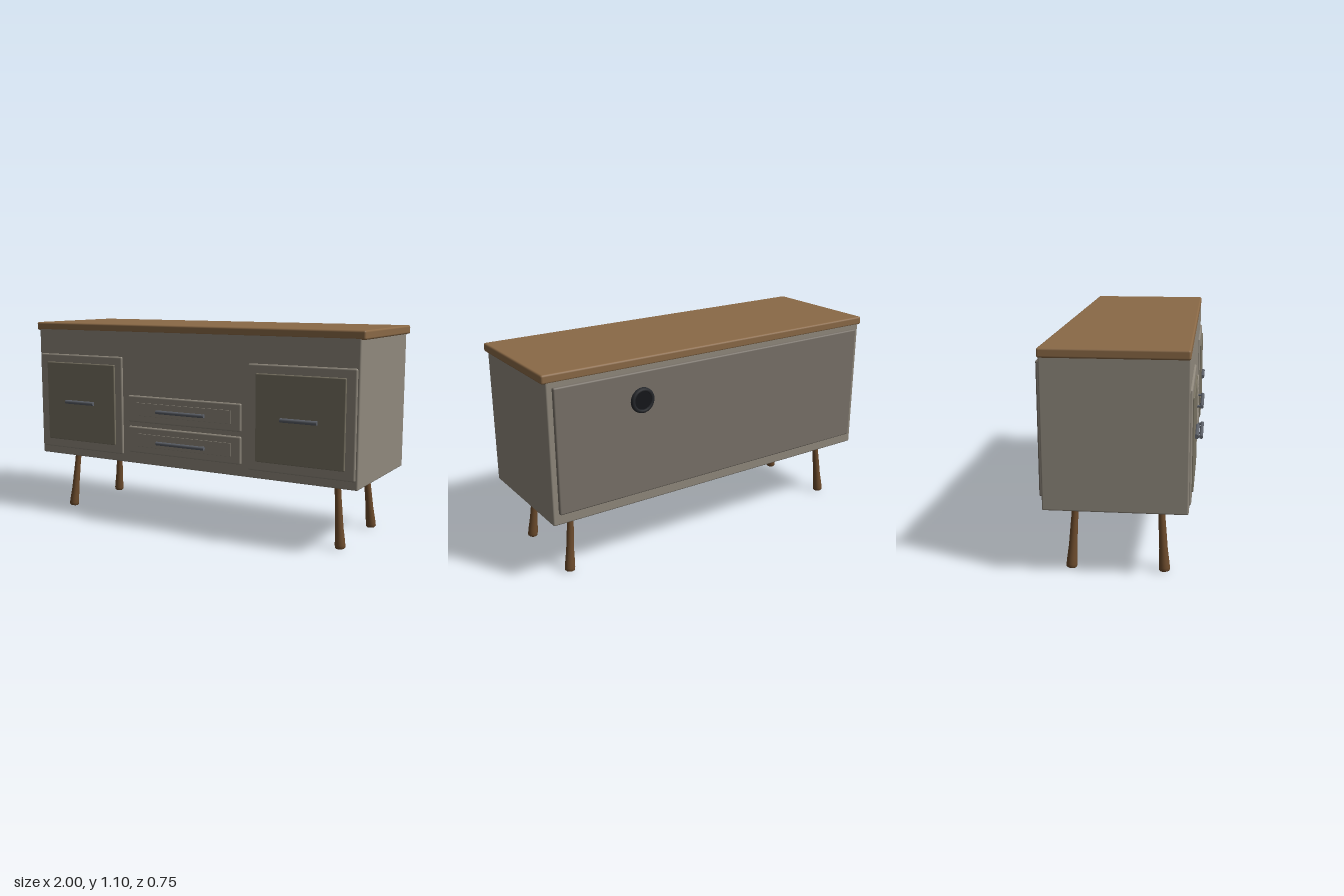
import * as THREE from 'three';
import { RoundedBoxGeometry } from 'three/addons/geometries/RoundedBoxGeometry.js';

const mat = (color) => new THREE.MeshStandardMaterial({ color });

export function createModel() {
  const model = new THREE.Group();
  const paint = mat(0x8f887c), panelPaint = mat(0x787262), backPaint = mat(0x787168);
  const wood = mat(0x8a6946), legWood = mat(0x6b4a2b);
  const metal = mat(0x5c6068), black = mat(0x24262a), hole = mat(0x15161a);

  const add = (name, geometry, material, parent = model) => {
    const mesh = new THREE.Mesh(geometry, material);
    mesh.name = name;
    parent.add(mesh);
    return mesh;
  };
  // Softly bevelled box given by its limits on each axis
  const box = (name, material, [x0, x1], [y0, y1], [z0, z1], r = 0.008, parent = model) => {
    const mesh = add(name, new RoundedBoxGeometry(x1 - x0, y1 - y0, z1 - z0, 2, r), material, parent);
    mesh.position.set((x0 + x1) / 2, (y0 + y1) / 2, (z0 + z1) / 2);
    return mesh;
  };
  // Round bar along x, optionally on two posts
  const handle = (name, x, y, z, length, r, postFrom, postX, parent) => {
    const bar = add(name, new THREE.CylinderGeometry(r, r, length, 16), metal, parent);
    bar.rotation.z = Math.PI / 2;
    bar.position.set(x, y, z);
    for (const s of [-1, 1]) {
      const depth = z - postFrom;
      const post = add('handlePost', new THREE.CylinderGeometry(0.007, 0.007, depth, 12), metal, parent);
      post.rotation.x = Math.PI / 2;
      post.position.set(x + s * postX, y, postFrom + depth / 2);
    }
  };

  // Cabinet carcass, top and back panel
  box('body', paint, [-0.98, 0.98], [0.338, 1.07], [-0.343, 0.333]);
  box('worktop', wood, [-1, 1], [1.055, 1.1], [-0.345, 0.334], 0.01);
  box('backPanel', backPaint, [-0.95, 0.95], [0.395, 1.035], [-0.36, -0.335]);

  // Doors with a raised centre panel, mirrored left and right
  for (const s of [-1, 1]) {
    const door = new THREE.Group();
    door.name = s > 0 ? 'leftDoor' : 'rightDoor';
    model.add(door);
    const span = (a, b) => (s > 0 ? [a, b] : [-b, -a]);
    box('doorFrame', paint, span(0.39, 0.968), [0.38, 0.922], [0.315, 0.343], 0.009, door);
    box('doorPanel', panelPaint, span(0.437, 0.917), [0.428, 0.876], [0.325, 0.351], 0.006, door);
    handle('doorHandle', s * 0.678, 0.652, 0.358, 0.197, 0.011, 0.345, 0.08, door);
  }

  // Two drawers in the middle
  for (const y of [0.4725, 0.6425]) {
    const drawer = new THREE.Group();
    drawer.name = 'drawer';
    model.add(drawer);
    box('drawerFrame', paint, [-0.352, 0.352], [y - 0.073, y + 0.073], [0.315, 0.343], 0.009, drawer);
    box('drawerPanel', paint, [-0.295, 0.295], [y - 0.036, y + 0.036], [0.325, 0.3445], 0.002, drawer);
    handle('drawerHandle', 0, y - 0.003, 0.369, 0.298, 0.01, 0.338, 0.132, drawer);
  }

  // Round cable outlet in the back panel
  const ringProfile = [[0.046, 0], [0.046, 0.012], [0.05, 0.016], [0.058, 0.016], [0.064, 0.011], [0.065, 0]];
  const outlet = new THREE.Group();
  outlet.name = 'cableOutlet';
  outlet.position.set(0.483, 0.89, -0.36);
  outlet.rotation.x = -Math.PI / 2;
  model.add(outlet);
  const ring = ringProfile.map(([r, y]) => new THREE.Vector2(r, y)).reverse();
  black.side = THREE.DoubleSide;
  add('outletRing', new THREE.LatheGeometry(ring, 32), black, outlet);
  add('outletCover', new THREE.CylinderGeometry(0.047, 0.047, 0.011, 32), hole, outlet).position.y = 0.0055;

  // Splayed turned legs, swelling toward the foot
  const legProfile = [[0, 0.002], [0.021, 0.002], [0.026, 0.007], [0.0265, 0.02], [0.025, 0.05],
    [0.0205, 0.11], [0.0185, 0.2], [0.0165, 0.27], [0.0165, 0.305], [0.021, 0.338], [0.021, 0.352]];
  const legGeometry = new THREE.LatheGeometry(legProfile.map(([r, y]) => new THREE.Vector2(r, y)), 20);
  const up = new THREE.Vector3(0, 1, 0);
  for (const sx of [-1, 1]) {
    for (const front of [true, false]) {
      const foot = new THREE.Vector3(sx * 0.855, 0.003, front ? 0.219 : -0.231);
      const top = new THREE.Vector3(sx * 0.824, 0.343, front ? 0.198 : -0.21);
      const leg = add((front ? 'front' : 'back') + (sx > 0 ? 'Left' : 'Right') + 'Leg', legGeometry, legWood);
      leg.position.copy(foot);
      leg.quaternion.setFromUnitVectors(up, top.sub(foot).normalize());
    }
  }
  return model;
}
